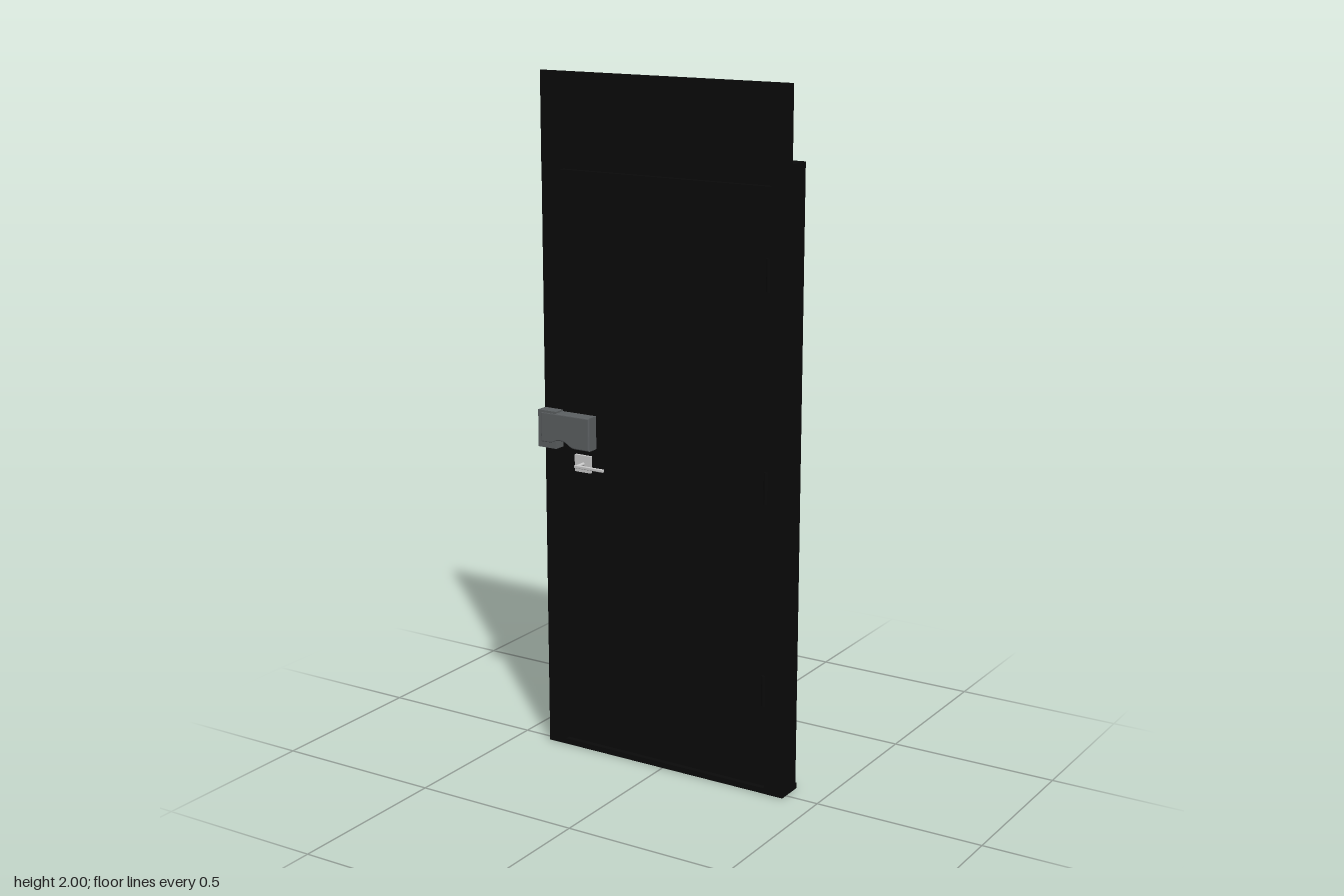
import * as THREE from 'three';
import { RoundedBoxGeometry } from 'three/addons/geometries/RoundedBoxGeometry.js';

const black = new THREE.MeshStandardMaterial({ color: 0x0a0a0a });
const darkGrey = new THREE.MeshStandardMaterial({ color: 0x5c6062 });
const steel = new THREE.MeshStandardMaterial({ color: 0xcccccc });

export function createModel() {
  const model = new THREE.Group();

  const add = (name, geometry, material, parent = model) => {
    const mesh = new THREE.Mesh(geometry, material);
    mesh.name = name;
    parent.add(mesh);
    return mesh;
  };
  // Box given by its limits on each axis
  const box = (name, [x0, x1], [y0, y1], [z0, z1], material, parent) => {
    const mesh = add(name, new THREE.BoxGeometry(x1 - x0, y1 - y0, z1 - z0), material, parent);
    mesh.position.set((x0 + x1) / 2, (y0 + y1) / 2, (z0 + z1) / 2);
    return mesh;
  };

  // Frame: two jambs and a head around the opening
  const frameShape = new THREE.Shape([
    [-0.4, 0], [-0.34, 0], [-0.34, 1.73], [0.34, 1.73],
    [0.34, 0], [0.4, 0], [0.4, 1.79], [-0.4, 1.79],
  ].map(([x, y]) => new THREE.Vector2(x, y)));
  add('frame', new THREE.ExtrudeGeometry(frameShape, { depth: 0.077, bevelEnabled: false }), black)
    .position.z = -0.055;

  // Thin panel above the frame, and the threshold below
  box('overPanel', [-0.4, 0.4], [1.73, 2], [0.016, 0.023], black);
  box('threshold', [-0.4, 0.4], [0, 0.017], [-0.062, 0.0215], black);

  // Door leaf, with a small gap above the threshold
  box('doorLeaf', [-0.337, 0.337], [0.023, 1.727], [-0.022, 0.019], black);

  // Hinge knuckles on the front
  for (const y of [0.31, 0.9, 1.49]) {
    add('hinge', new THREE.CylinderGeometry(0.006, 0.006, 0.09, 12), black).position.set(0.333, y, 0.019);
  }

  // Rim lock: keeper on the jamb, body with a curved lower edge on the leaf
  const lock = new THREE.Group();
  lock.name = 'rimLock';
  model.add(lock);
  box('lockKeeper', [-0.4, -0.338], [0.925, 1.035], [0.02, 0.057], darkGrey, lock);
  const body = new THREE.Shape();
  body.moveTo(-0.39, 1.028);
  body.lineTo(-0.39, 0.942);
  body.lineTo(-0.365, 0.942);
  body.bezierCurveTo(-0.345, 0.942, -0.345, 0.952, -0.325, 0.952);
  body.bezierCurveTo(-0.295, 0.952, -0.3, 0.934, -0.27, 0.934);
  body.lineTo(-0.226, 0.934);
  body.lineTo(-0.226, 1.028);
  body.closePath();
  add('lockBody', new THREE.ExtrudeGeometry(body, {
    depth: 0.033, bevelSize: 0.004, bevelThickness: 0.004, bevelOffset: -0.002, bevelSegments: 3, curveSegments: 10,
  }), darkGrey, lock).position.z = 0.021;

  // Lever handle on each face of the leaf
  for (const side of [1, -1]) {
    const handle = new THREE.Group();
    handle.name = side > 0 ? 'frontHandle' : 'backHandle';
    model.add(handle);
    add('handlePlate', new THREE.BoxGeometry(0.054, 0.05, 0.009), steel, handle)
      .position.set(-0.267, 0.884, side * 0.0235);
    const stem = add('handleStem', new THREE.CylinderGeometry(0.005, 0.005, 0.04, 16), steel, handle);
    stem.rotation.x = Math.PI / 2;
    stem.position.set(-0.264, 0.884, side * 0.043);
    add('handleLever', new RoundedBoxGeometry(0.1, 0.009, 0.008, 2, 0.002), steel, handle)
      .position.set(-0.222, 0.884, side * 0.061);
  }
  return model;
}
